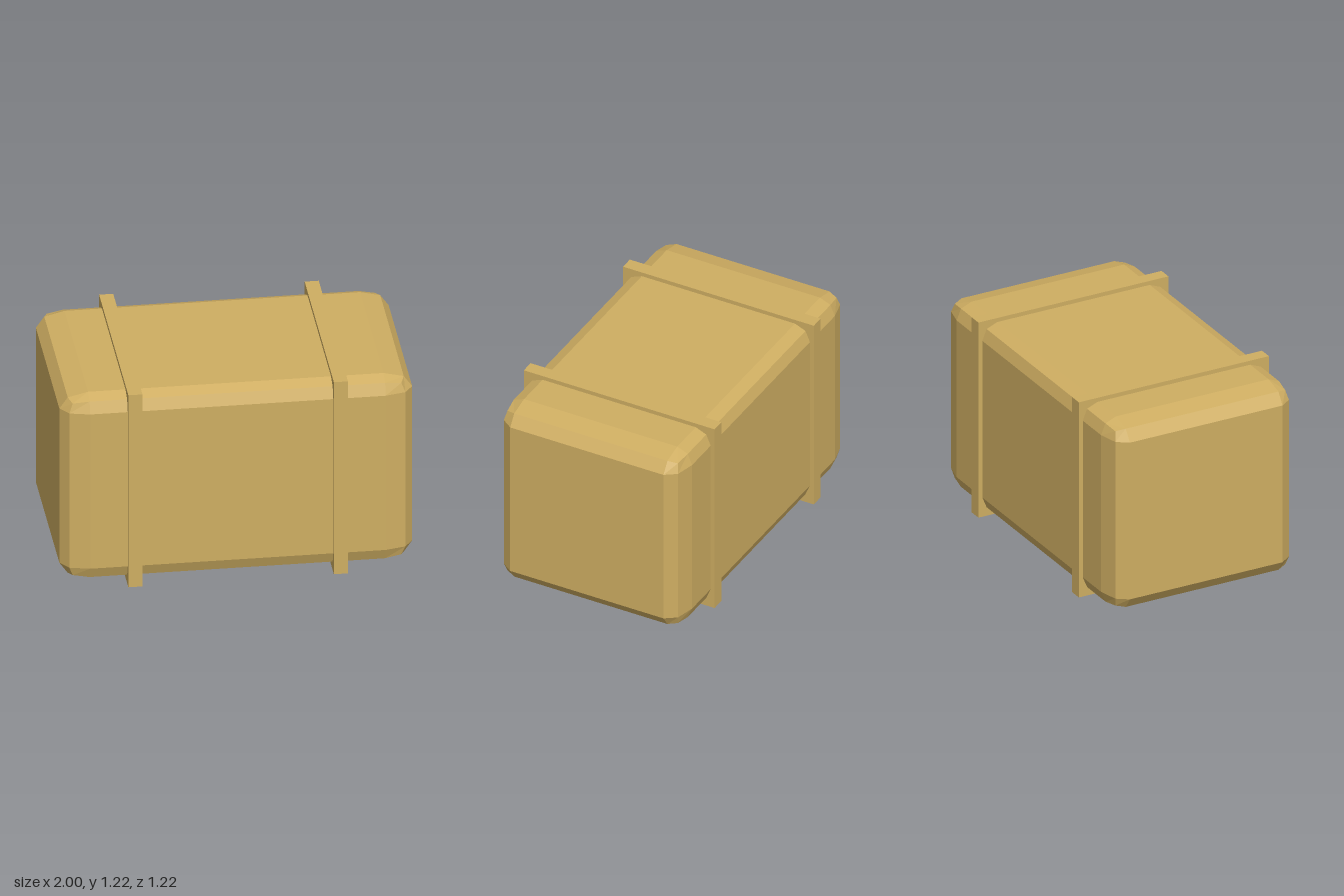
import * as THREE from 'three';
import { RoundedBoxGeometry } from 'three/addons/geometries/RoundedBoxGeometry.js';

export function createModel() {
  const model = new THREE.Group();
  model.name = 'strappedBale';
  const material = new THREE.MeshStandardMaterial({ color: 0xcfae62, flatShading: true });
  const centreY = 0.61;

  // Bale: a cube with two-step bevels, stretched along x
  const side = 1.17;
  const baleGeometry = new RoundedBoxGeometry(side, side, side, 1, 0.095);
  baleGeometry.scale(2 / side, 1, 1);
  baleGeometry.computeVertexNormals();
  const bale = new THREE.Mesh(baleGeometry, material);
  bale.name = 'bale';
  bale.position.y = centreY;
  model.add(bale);

  // Two square straps standing slightly proud of the bale
  const strapGeometry = new THREE.BoxGeometry(0.08, 1.22, 1.22);
  for (const [name, x] of [['leftStrap', 0.58], ['rightStrap', -0.585]]) {
    const strap = new THREE.Mesh(strapGeometry, material);
    strap.name = name;
    strap.position.set(x, centreY, 0);
    model.add(strap);
  }
  return model;
}
